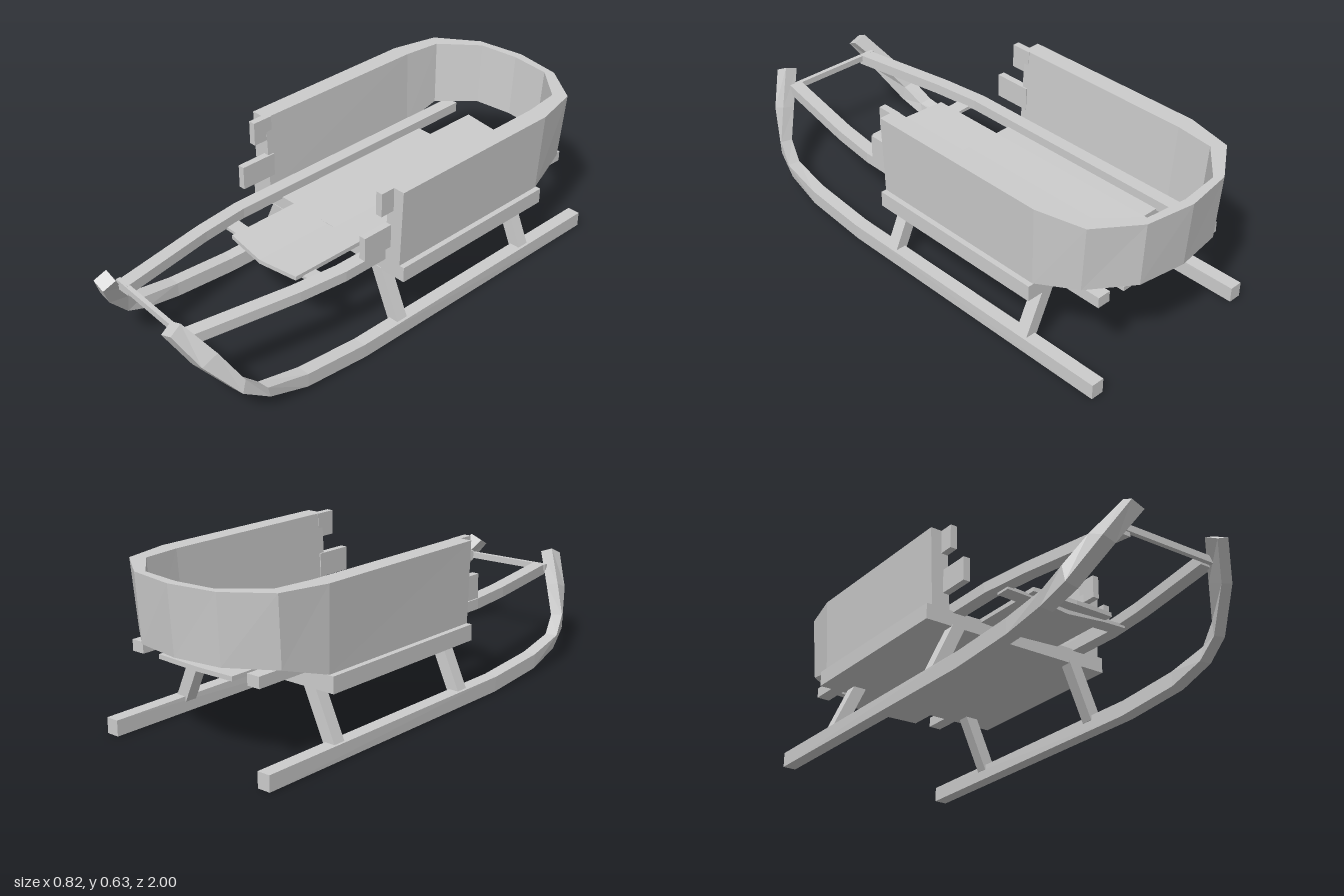
import * as THREE from 'three';

const material = new THREE.MeshStandardMaterial({ color: 0xcccccc, flatShading: true, side: THREE.DoubleSide });

// Joins a row of four-cornered cross-sections into a closed beam.
function loft(sections) {
  const pos = [];
  const tri = (a, b, c) => pos.push(...a, ...b, ...c);
  const quad = (a, b, c, d) => { tri(a, b, c); tri(a, c, d); };
  for (let i = 0; i < sections.length - 1; i++) {
    const s = sections[i], t = sections[i + 1];
    for (let k = 0; k < 4; k++) {
      const n = (k + 1) % 4;
      quad(s[k], s[n], t[n], t[k]);
    }
  }
  const last = sections[sections.length - 1];
  quad(...[...sections[0]].reverse());
  quad(...last);
  // Turn every triangle outward if the enclosed volume comes out negative
  let volume = 0;
  const v = (i) => new THREE.Vector3().fromArray(pos, i);
  for (let i = 0; i < pos.length; i += 9) volume += v(i).dot(v(i + 3).cross(v(i + 6)));
  if (volume < 0) {
    for (let i = 0; i < pos.length; i += 9) {
      for (let k = 3; k < 6; k++) [pos[i + k], pos[i + k + 3]] = [pos[i + k + 3], pos[i + k]];
    }
  }
  const geometry = new THREE.BufferGeometry();
  geometry.setAttribute('position', new THREE.Float32BufferAttribute(pos, 3));
  geometry.computeVertexNormals();
  return geometry;
}

const mirror = (section) => section.map(([x, y, z]) => [-x, y, z]);
const sided = (sections, side) => (side > 0 ? sections : sections.map(mirror));

export function createModel() {
  const sled = new THREE.Group();
  sled.name = 'sled';
  const add = (name, geometry) => {
    const mesh = new THREE.Mesh(geometry, material);
    mesh.name = name;
    sled.add(mesh);
    return mesh;
  };
  // Box given by its extents
  const block = (name, x0, x1, y0, y1, z0, z1) =>
    add(name, new THREE.BoxGeometry(x1 - x0, y1 - y0, z1 - z0))
      .position.set((x0 + x1) / 2, (y0 + y1) / 2, (z0 + z1) / 2);

  // Runner: [bottom inner x, bottom y, bottom z, top inner x, top y, top z, tilt]
  const runner = [
    [0.345, 0, -0.955, 0.345, 0.06, -0.955, 0],
    [0.345, 0, 0.28, 0.347, 0.06, 0.29, 0],
    [0.34, 0.022, 0.56, 0.342, 0.08, 0.56, 0],
    [0.325, 0.058, 0.72, 0.33, 0.11, 0.735, 0.005],
    [0.3, 0.11, 0.82, 0.305, 0.17, 0.81, 0.01],
    [0.235, 0.245, 0.935, 0.24, 0.275, 0.87, 0.015],
    [0.163, 0.365, 1.0, 0.155, 0.39, 0.95, 0.02],
  ].map(([bx, by, bz, tx, ty, tz, tilt]) => [
    [bx, by, bz], [bx + 0.053, by + tilt, bz], [tx + 0.053, ty + tilt, tz], [tx, ty, tz],
  ]);

  // Leg: leans inward from the runner up to the deck
  const leg = (z) => [[0.37, 0.04], [0.27, 0.26]].map(([x, y]) => [
    [x - 0.027, y, z - 0.025], [x + 0.027, y, z - 0.025],
    [x + 0.027, y, z + 0.025], [x - 0.027, y, z + 0.025],
  ]);

  for (const side of [1, -1]) {
    const label = side > 0 ? 'left' : 'right';
    add(label + 'Runner', loft(sided(runner, side)));
    add(label + 'FrontLeg', loft(sided(leg(0.083), side)));
    add(label + 'BackLeg', loft(sided(leg(-0.608), side)));

    // Upper rail, bending inward to the front
    const rail = [[0.28, -0.89], [0.28, 0.3], [0.257, 0.5], [0.222, 0.7], [0.185, 0.91]].map(([x, z]) => {
      const c = x * side + 0.01;
      return [[c - 0.027, 0.308, z], [c + 0.027, 0.308, z], [c + 0.027, 0.35, z], [c - 0.027, 0.35, z]];
    });
    add(label + 'UpperRail', loft(rail));

    // Board ends sticking out of the side wall
    const tab = (name, inner, outer, ...rest) =>
      block(label + name, Math.min(inner * side, outer * side), Math.max(inner * side, outer * side), ...rest);
    tab('UpperTab', 0.325, 0.353, 0.535, 0.63, 0.08, 0.165);
    tab('LowerTab', 0.314, 0.342, 0.375, 0.47, 0.08, 0.235);
  }

  // Deck under the body
  block('deck', -0.41, 0.41, 0.253, 0.315, -0.66, 0.105);

  // Body wall: both sides and the rounded back in one band
  // [outer top x, z, inner top x, z, outer bottom x, z, inner bottom x, z, bottom y]
  const half = [
    [0.4, 0.105, 0.328, 0.105, 0.388, 0.105, 0.312, 0.105, 0.312],
    [0.4, -0.665, 0.325, -0.665, 0.388, -0.655, 0.31, -0.655, 0.315],
    [0.355, -0.855, 0.307, -0.82, 0.345, -0.835, 0.296, -0.81, 0.367],
    [0.195, -0.97, 0.166, -0.945, 0.19, -0.955, 0.161, -0.93, 0.374],
    [0, -1.0, 0, -0.963, 0, -0.982, 0, -0.948, 0.374],
  ].map(([a, az, b, bz, c, cz, d, dz, y]) => [[a, 0.63, az], [b, 0.63, bz], [d, y, dz], [c, y, cz]]);
  add('bodyWall', loft([...half, ...half.slice(0, -1).reverse().map(mirror)]));

  // Plank slightly sagging along its middle: [x, bottom y, top y, back z, front z]
  const plank = (rows) => loft(rows.map(([x, y0, y1, z0, z1]) => [[x, y0, z0], [x, y0, z1], [x, y1, z1], [x, y1, z0]]));
  add('seat', plank([
    [-0.17, 0.305, 0.322, -0.888, 0.42],
    [0.01, 0.296, 0.313, -0.876, 0.442],
    [0.187, 0.305, 0.322, -0.886, 0.425],
  ]));
  add('frontCrossbar', plank([
    [-0.26, 0.299, 0.314, 0.33, 0.39],
    [-0.16, 0.296, 0.308, 0.33, 0.39],
    [0.01, 0.279, 0.298, 0.33, 0.39],
    [0.18, 0.296, 0.308, 0.33, 0.39],
    [0.28, 0.299, 0.314, 0.33, 0.39],
  ]));

  // Thin bar between the tips
  add('tipBar', plank([
    [-0.21, 0.326, 0.351, 0.895, 0.913],
    [0.22, 0.313, 0.338, 0.915, 0.933],
  ]));

  return sled;
}
